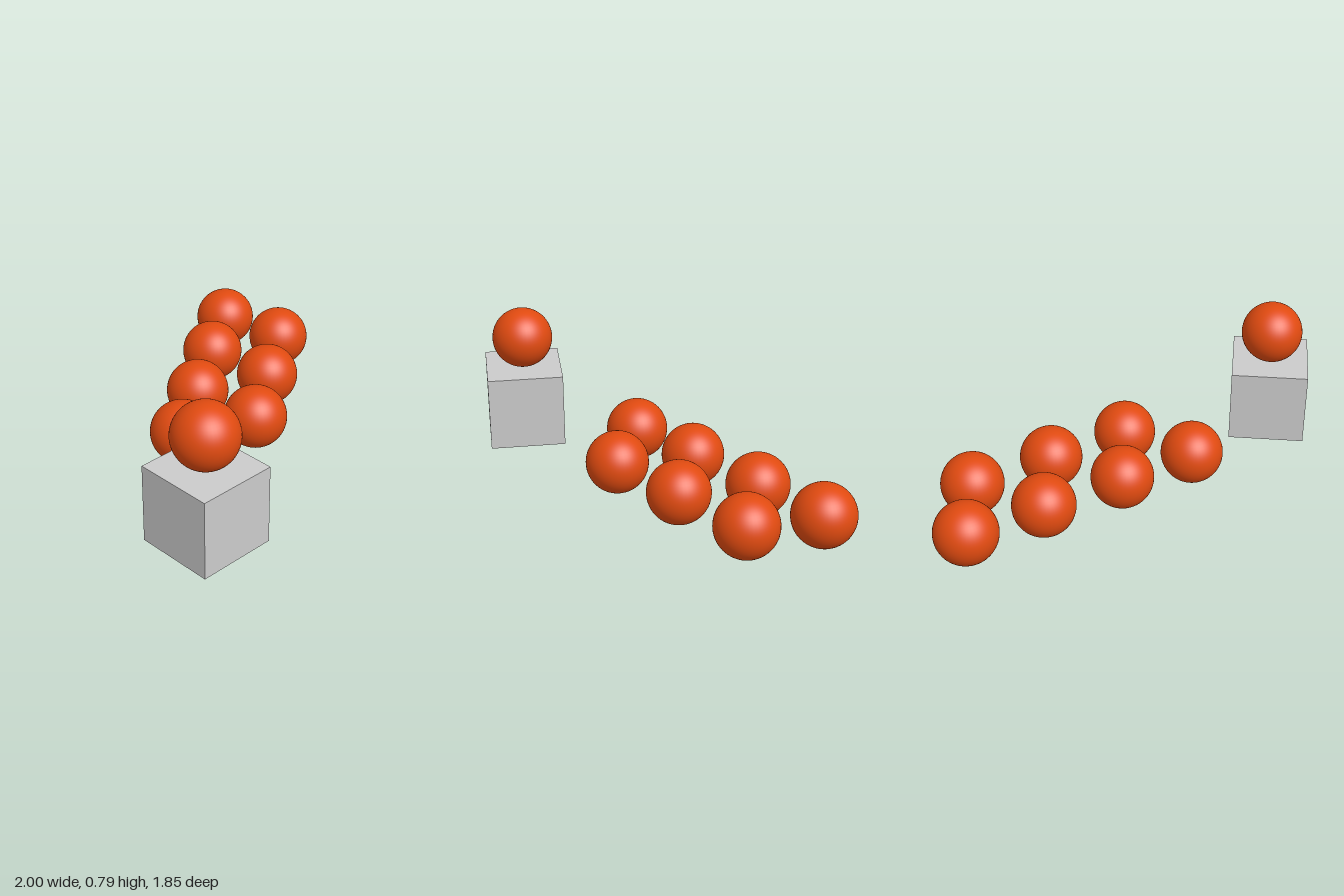
import * as THREE from 'three';

export function createModel() {
  const model = new THREE.Group();
  const orange = new THREE.MeshStandardMaterial({ color: 0xe04a10 });
  const grey = new THREE.MeshStandardMaterial({ color: 0xcccccc });
  const radius = 0.176, side = 0.44;
  const ballGeometry = new THREE.SphereGeometry(radius, 48, 32);

  function addBall(name, x, z, base = 0) {
    const ball = new THREE.Mesh(ballGeometry, orange);
    ball.name = name;
    ball.position.set(x, base + radius, z);
    model.add(ball);
  }

  // Pedestal with one ball resting on top
  const pedestal = new THREE.Mesh(new THREE.BoxGeometry(side, side, side), grey);
  pedestal.name = 'pedestal';
  pedestal.position.set(-0.78, side / 2, 0.705);
  model.add(pedestal);
  addBall('pedestalBall', -0.78, 0.703, side);

  // Two staggered diagonal rows of balls on the ground, as [x, z]
  const rows = {
    backRowBall: [[-0.358, 0.076], [0.01, -0.192], [0.404, -0.48], [0.775, -0.748]],
    frontRowBall: [[0.04, 0.24], [0.428, -0.044], [0.822, -0.33]],
  };
  for (const [name, spots] of Object.entries(rows)) {
    spots.forEach(([x, z], i) => addBall(name + (i + 1), x, z));
  }
  return model;
}
